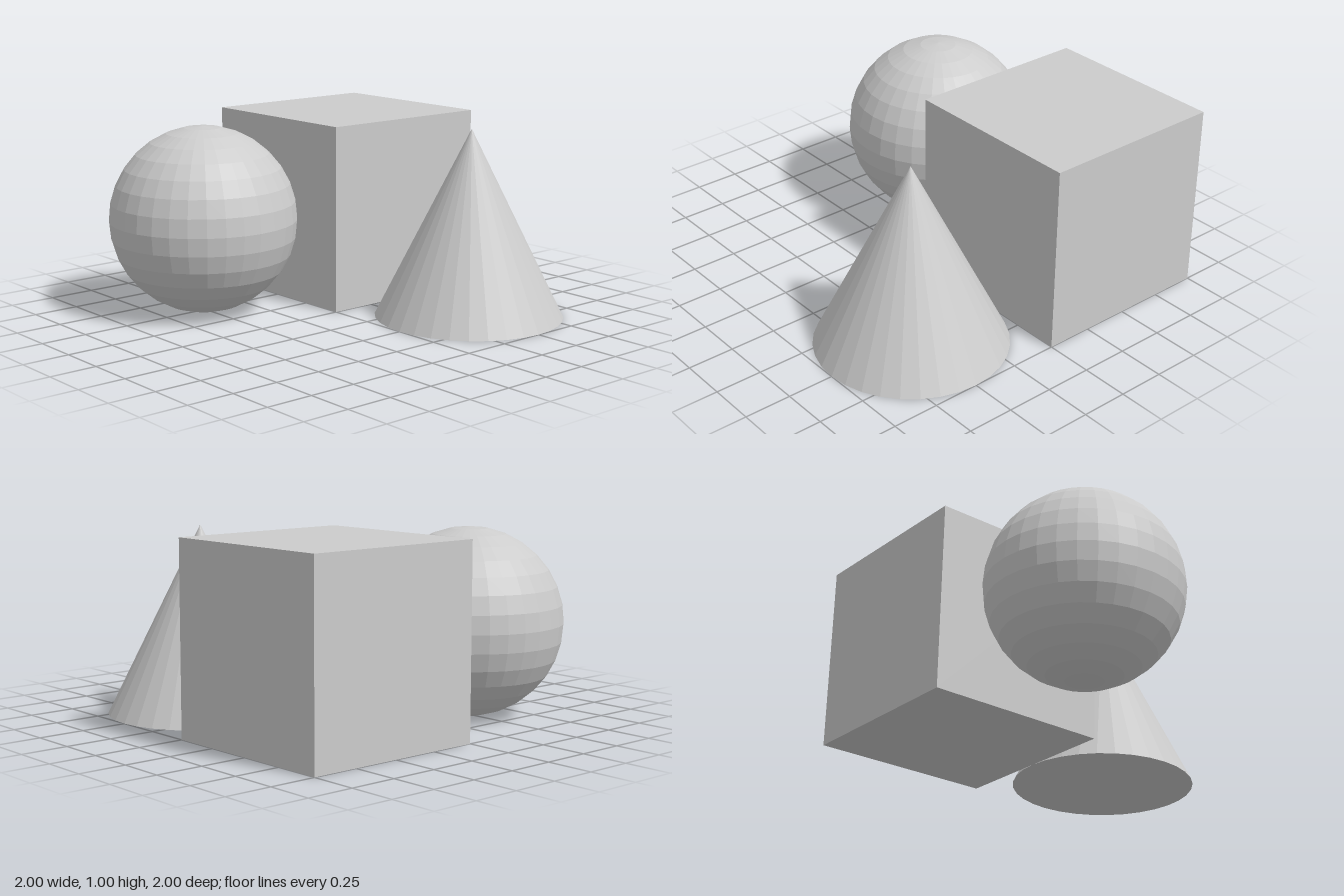
import * as THREE from 'three';

export function createModel() {
  const grey = new THREE.MeshStandardMaterial({ color: 0xcccccc, flatShading: true });
  grey.name = 'lightGrey';

  const model = new THREE.Group();
  model.name = 'basicSolids';

  // Each solid is one unit wide and rests on the ground in its own quadrant
  const addSolid = (name, geometry, x, z) => {
    const mesh = new THREE.Mesh(geometry, grey);
    mesh.name = name;
    mesh.position.set(x, 0.5, z);
    model.add(mesh);
  };

  addSolid('cube', new THREE.BoxGeometry(1, 1, 1), -0.5, -0.5);
  addSolid('sphere', new THREE.SphereGeometry(0.5, 32, 16), -0.5, 0.5);
  addSolid('cone', new THREE.ConeGeometry(0.5, 1, 32), 0.5, -0.5);

  return model;
}
